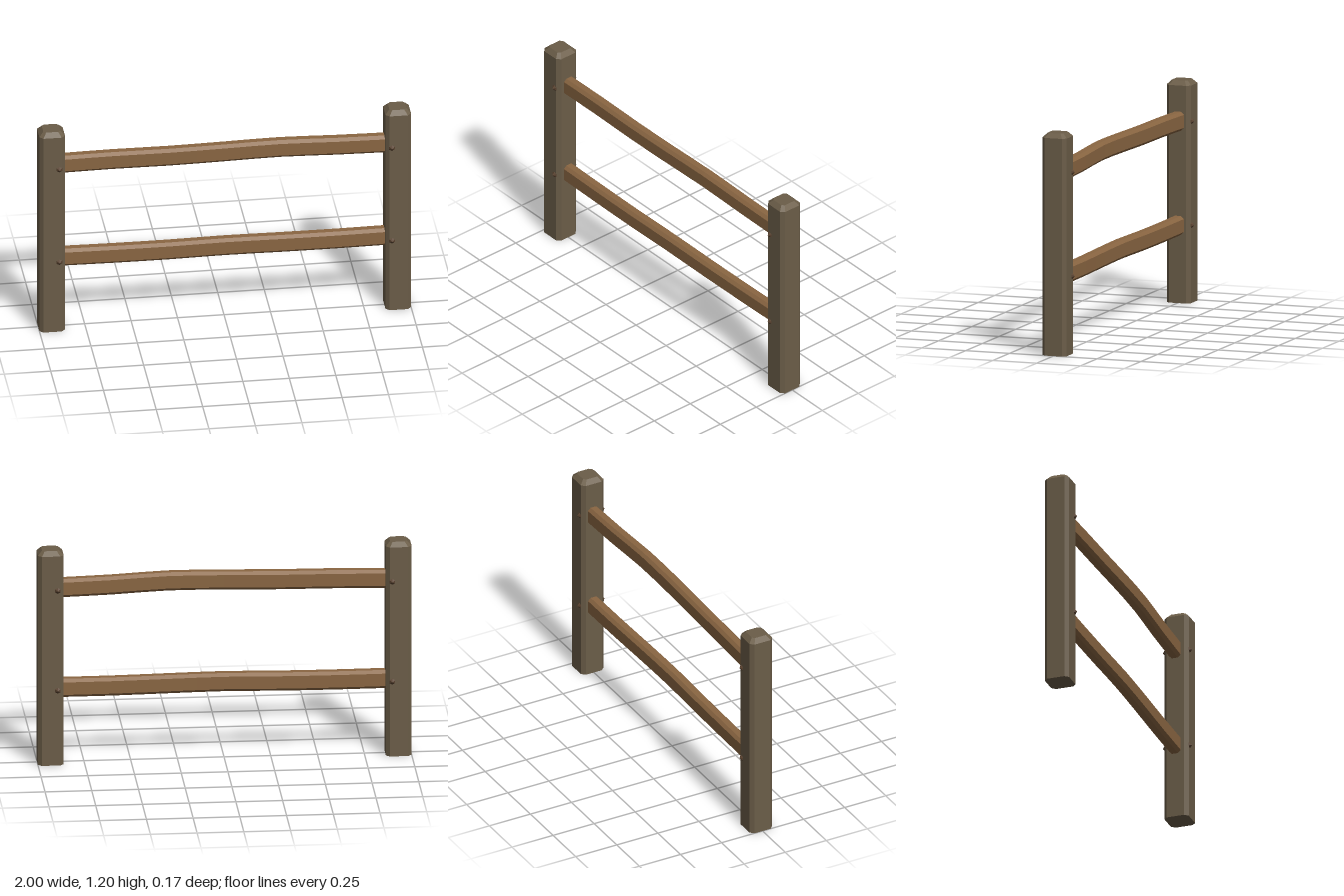
import * as THREE from 'three';

const postWood = new THREE.MeshStandardMaterial({ name: 'weathered post wood', color: 0x6b5d48 });
const railWood = new THREE.MeshStandardMaterial({ name: 'brown rail wood', color: 0x8a6642 });
const pegWood = new THREE.MeshStandardMaterial({ name: 'dark peg', color: 0x5a4330 });

// Rectangle with cut corners, given half sizes and corner cut
function cutRect(w, h, c) {
  return new THREE.Shape([
    [w, -h + c], [w, h - c], [w - c, h], [-w + c, h],
    [-w, h - c], [-w, -h + c], [-w + c, -h], [w - c, -h],
  ].map(([x, y]) => new THREE.Vector2(x, y)));
}

// Move every vertex by a rule, then restore the flat normals
function reshape(geo, rule) {
  const p = geo.attributes.position;
  const v = new THREE.Vector3();
  for (let i = 0; i < p.count; i++) {
    rule(v.fromBufferAttribute(p, i));
    p.setXYZ(i, v.x, v.y, v.z);
  }
  geo.computeVertexNormals();
  return geo;
}

// Post: straight shaft with a sloped cap
function postGeometry() {
  const geo = new THREE.ExtrudeGeometry(cutRect(0.069, 0.069, 0.02),
    { depth: 2, steps: 2, bevelEnabled: false });
  geo.rotateX(-Math.PI / 2);
  return reshape(geo, (v) => {
    if (v.y > 1.5) { v.x *= 0.66; v.z *= 0.66; v.y = 1.2; }
    else if (v.y > 0.5) v.y = 1.176;
  });
}

// Rail: cut-corner beam bent along a gently wandering line of [x, y, z] points
function railGeometry(points) {
  const steps = 12, half = 0.9;
  const geo = new THREE.ExtrudeGeometry(cutRect(0.033, 0.051, 0.016),
    { depth: half * 2, steps, bevelEnabled: false });
  geo.translate(0, 0, -half).rotateY(Math.PI / 2);
  const curve = new THREE.CatmullRomCurve3(points.map((p) => new THREE.Vector3(...p)));
  const c = new THREE.Vector3();
  return reshape(geo, (v) => {
    curve.getPoint(THREE.MathUtils.clamp((v.x + half) / (half * 2), 0, 1), c);
    v.y += c.y;
    v.z += c.z;
  });
}

export function createModel() {
  const fence = new THREE.Group();
  fence.name = 'fence';
  const add = (name, geo, mat, x = 0, y = 0, z = 0) => {
    const mesh = new THREE.Mesh(geo, mat);
    mesh.name = name;
    mesh.position.set(x, y, z);
    fence.add(mesh);
    return mesh;
  };

  // Rails, with evenly spaced centre-line points
  add('upperRail', railGeometry([
    [-0.9, 0.983, -0.004], [-0.6, 0.989, 0], [-0.3, 0.99, 0.005], [0, 0.996, 0.008],
    [0.3, 1.0, 0.006], [0.6, 0.988, 0], [0.9, 0.981, -0.004],
  ]), railWood);
  add('lowerRail', railGeometry([
    [-0.9, 0.421, -0.003], [-0.6, 0.419, 0], [-0.3, 0.42, 0.003], [0, 0.425, 0.005],
    [0.3, 0.422, 0.004], [0.6, 0.419, 0], [0.9, 0.42, -0.003],
  ]), railWood);

  // Posts, each pegged front and back at both rails
  const post = postGeometry();
  const peg = new THREE.ConeGeometry(0.018, 0.015, 6).toNonIndexed();
  peg.rotateX(Math.PI / 2);
  peg.computeVertexNormals();
  for (const side of [1, -1]) {
    add(side > 0 ? 'leftPost' : 'rightPost', post, postWood, side * 0.931);
    for (const y of [0.983, 0.421]) {
      for (const face of [1, -1]) {
        const mesh = add('peg', peg, pegWood, side * 0.895, y, face * 0.0755);
        if (face < 0) mesh.rotation.y = Math.PI;
      }
    }
  }
  return fence;
}
